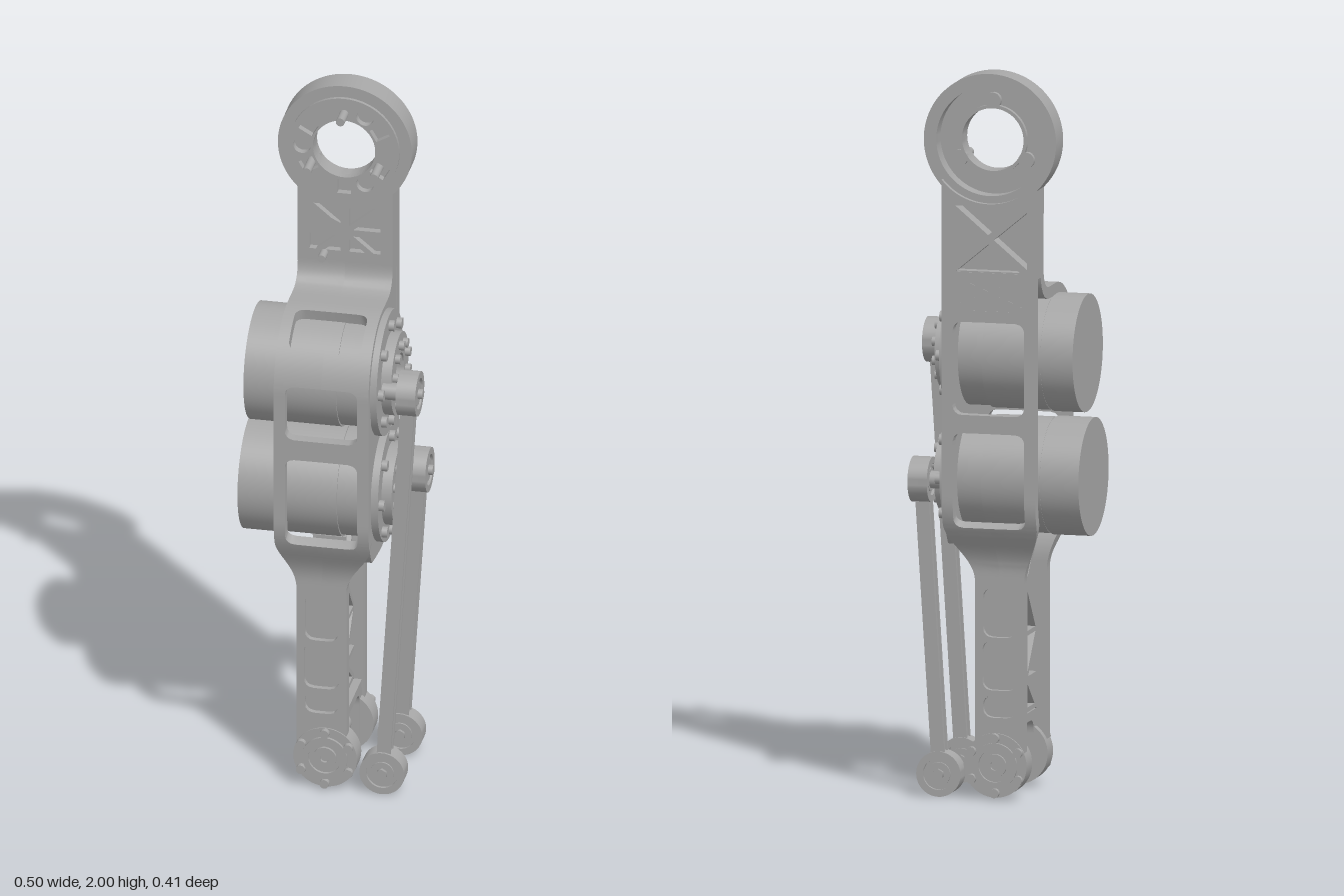
import * as THREE from 'three';
import { toCreasedNormals } from 'three/addons/utils/BufferGeometryUtils.js';

const metal = new THREE.MeshStandardMaterial({ color: 0xa6a6a6 });
metal.name = 'machined grey';
const CX = -0.015;              // centre line of the leg
const HIP = { x: CX, y: 1.815 };
const UPPER = { y: 1.212, z: 0.012 }, LOWER = { y: 0.875, z: 0.005 };

export function createModel() {
  const root = new THREE.Group();
  root.name = 'robotLeg';

  const add = (name, geo, x = 0, y = 0, z = 0) => {
    const m = new THREE.Mesh(geo, metal);
    m.name = name;
    m.position.set(x, y, z);
    root.add(m);
    return m;
  };
  const box = (name, w, h, d, x, y, z) => add(name, new THREE.BoxGeometry(w, h, d), x, y, z);

  // Solid disc or annulus running from a to b along the x or z axis
  const disc = (name, axis, ro, ri, a, b, p, seg = 48) => {
    const h = b - a;
    let g;
    if (ri > 0) {
      const v = [[ri, 0], [ro, 0], [ro, h], [ri, h], [ri, 0]].map(q => new THREE.Vector2(...q));
      g = toCreasedNormals(new THREE.LatheGeometry(v, seg), 0.6);
    } else g = new THREE.CylinderGeometry(ro, ro, h, seg).translate(0, h / 2, 0);
    if (axis === 'x') return add(name, g.rotateZ(-Math.PI / 2), a, p.y, p.z);
    return add(name, g.rotateX(Math.PI / 2), p.x, p.y, a);
  };
  const plate = (name, shape, a, b) => add(name, new THREE.ExtrudeGeometry(shape,
    { depth: b - a, bevelEnabled: false, curveSegments: 32 }), 0, 0, a);
  const sidePlate = (name, shape, a, b) => add(name, new THREE.ExtrudeGeometry(shape,
    { depth: b - a, bevelEnabled: false, curveSegments: 24 }).rotateY(Math.PI / 2), a, 0, 0);
  const circle = (n, f, start = 0) => {
    for (let i = 0; i < n; i++) f(start + i * Math.PI * 2 / n);
  };

  // Curved shell strip that follows a side profile (z, y), with rounded windows [s0, s1, halfWidth]
  const smooth = t => { t = Math.min(1, Math.max(0, t)); return t * t * (3 - 2 * t); };
  function band(name, path, side, thick, windows) {
    const L = path.getLength(), R = 0.025, e = 0.0004, stops = [];
    for (let i = 0; i <= 150; i++) stops.push(L * i / 150);
    for (const [a, b] of windows)
      for (const d of [-e, 0, 0.003, 0.008, 0.015, R]) stops.push(a + d, b - d);
    stops.sort((p, q) => p - q);
    for (const end of [-1, 1]) {
      const pos = [], idx = [];
      stops.forEach((s, i) => {
        const p = path.getPointAt(Math.min(1, s / L)), t = path.getTangentAt(Math.min(1, s / L));
        const k = smooth((p.y - 0.6) / 0.16);
        const c = -0.026 + 0.012 * k, half = 0.069 + 0.062 * k;
        let w = 0;
        for (const [a, b, hw] of windows) if (s >= a - 1e-9 && s <= b + 1e-9) {
          const d = Math.max(0, R - Math.min(s - a, b - s));
          w = hw - R + Math.sqrt(R * R - d * d);
        }
        const xs = [c + end * w, c + end * half].sort((m, n) => m - n);
        const iz = p.x - t.y * thick, iy = p.y + t.x * thick;
        pos.push(xs[0], p.y, side * p.x, xs[1], p.y, side * p.x,
          xs[1], iy, side * iz, xs[0], iy, side * iz);
        if (i) for (let j = 0; j < 4; j++) {
          const a = 4 * (i - 1) + j, b = 4 * (i - 1) + (j + 1) % 4;
          if (side > 0) idx.push(a, b, b + 4, a, b + 4, a + 4);
          else idx.push(a, b + 4, b, a, a + 4, b + 4);
        }
      });
      const n = pos.length / 3 - 4;
      if (side > 0) idx.push(0, 2, 1, 0, 3, 2, n, n + 1, n + 2, n, n + 2, n + 3);
      else idx.push(0, 1, 2, 0, 2, 3, n, n + 2, n + 1, n, n + 3, n + 2);
      const g = new THREE.BufferGeometry();
      g.setAttribute('position', new THREE.Float32BufferAttribute(pos, 3));
      g.setIndex(idx);
      add(name, toCreasedNormals(g, 0.6));
    }
  }
  const pockets = [[0.125, 0.185, 0.046], [0.2, 0.335, 0.048], [0.345, 0.48, 0.046]];
  const front = new THREE.Path().moveTo(0.142, 0.1).lineTo(0.142, 0.62)
    .bezierCurveTo(0.142, 0.7, 0.205, 0.73, 0.205, 0.83).lineTo(0.205, 1.21)
    .absarc(0.015, 1.21, 0.19, 0, Math.PI / 2, false).lineTo(-0.05, 1.4)
    .quadraticCurveTo(-0.115, 1.4, -0.115, 1.465).lineTo(-0.115, 1.5);
  band('frontShell', front, 1, 0.032,
    [...pockets, [0.665, 0.93, 0.1], [0.99, 1.15, 0.1], [1.25, 1.385, 0.1]]);
  const back = new THREE.Path().moveTo(0.13, 0.1).lineTo(0.13, 0.62)
    .bezierCurveTo(0.13, 0.7, 0.203, 0.73, 0.203, 0.83).lineTo(0.203, 1.46);
  band('backShell', back, -1, 0.03, [...pockets, [0.665, 0.93, 0.1], [0.98, 1.235, 0.1]]);
  box('frontPocketFloor', 0.13, 0.42, 0.016, -0.026, 0.4, 0.119);
  box('backPocketFloor', 0.13, 0.42, 0.016, -0.026, 0.4, -0.107);

  // Side plate that carries the two drives
  const sp = new THREE.Shape().moveTo(-0.15, 0.7).quadraticCurveTo(-0.195, 0.76, -0.198, 0.85);
  sp.lineTo(-0.198, 1.21).absarc(-0.015, 1.21, 0.183, Math.PI, Math.PI / 2, true);
  sp.lineTo(0.05, 1.393).quadraticCurveTo(0.12, 1.393, 0.12, 1.46).lineTo(0.197, 1.46)
    .lineTo(0.197, 0.85).quadraticCurveTo(0.19, 0.76, 0.14, 0.7).quadraticCurveTo(0, 0.67, -0.15, 0.7);
  sidePlate('sidePlate', sp, 0.088, 0.115);

  // Motors and their output flanges
  const drive = (c, x0, r) => {
    disc('motor', 'x', 0.161, 0, x0, -0.15, c, 64);
    disc('motorSeam', 'x', 0.157, 0, -0.15, -0.144, c, 64);
    disc('motorBody', 'x', 0.158, 0, -0.144, 0.02, c, 64);
    disc('gearbox', 'x', 0.153, 0, 0.02, 0.09, c, 64);
    disc('driveFlange', 'x', r, 0.1, 0.113, 0.135, c, 64);
    disc('outputRing', 'x', 0.115, 0.056, 0.113, 0.163, c);
    disc('outputBore', 'x', 0.06, 0, 0.113, 0.13, c);
    circle(8, a => disc('flangeBolt', 'x', 0.015, 0, 0.13, 0.15,
      { y: c.y + 0.142 * Math.sin(a), z: c.z + 0.142 * Math.cos(a) }, 16));
    circle(10, a => disc('outputBolt', 'x', 0.013, 0, 0.16, 0.177,
      { y: c.y + 0.085 * Math.sin(a), z: c.z + 0.085 * Math.cos(a) }, 16), 0.3);
  };
  drive(UPPER, -0.235, 0.174);
  drive(LOWER, -0.253, 0.163);

  // Push rods: upper eyes turn about x, lower eyes about z
  const eye = (axis, a, b, p) => {
    disc('rodEye', axis, 0.062, 0.043, a, b, p);
    disc('rodBearing', axis, 0.045, 0.03, a + 0.008, b - 0.008, p);
    disc('rodBall', axis, 0.032, 0, a + 0.003, b - 0.003, p, 32);
  };
  const rod = (top, z, z0, z1) => {
    const low = new THREE.Vector3(0.143, 0.065, z);
    eye('x', top.x - 0.027, top.x + 0.027, top);
    disc('crankPin', 'x', 0.024, 0, 0.14, top.x, top, 24);
    disc('crankBolt', 'x', 0.014, 0, top.x, top.x + 0.037, top, 16);
    eye('z', z0, z1, low);
    disc('rodBolt', 'z', 0.015, 0, z0 - 0.006, z1 + 0.006, low, 6);
    const dir = top.clone().sub(low), len = dir.length() - 0.09;
    const q = new THREE.Quaternion().setFromUnitVectors(new THREE.Vector3(0, 1, 0), dir.normalize());
    const mid = top.clone().add(low).multiplyScalar(0.5);
    for (const [w, d, off] of [[0.026, 0.03, 0], [0.038, 0.008, 0.017], [0.038, 0.008, -0.017]]) {
      const m = box('pushRod', w, len, d, mid.x, mid.y, mid.z + off);
      m.quaternion.copy(q);
    }
  };
  rod(new THREE.Vector3(0.214, 1.212, 0.122), 0.126, 0.1, 0.153);
  rod(new THREE.Vector3(0.195, 0.867, -0.105), -0.112, -0.138, -0.085);

  // Hip ring with a dished back and a pocketed front boss
  disc('hipRim', 'z', 0.185, 0.15, -0.19, -0.115, HIP, 96);
  disc('hipFloor', 'z', 0.155, 0.086, -0.145, -0.125, HIP, 64);
  disc('hipBoreLip', 'z', 0.095, 0.086, -0.16, -0.13, HIP, 64);
  const boss = new THREE.Shape().absarc(HIP.x, HIP.y, 0.152, 0, Math.PI * 2);
  boss.holes.push(new THREE.Path().absarc(HIP.x, HIP.y, 0.086, 0, Math.PI * 2, true));
  const polar = (r, a) => new THREE.Vector2(HIP.x + r * Math.cos(a), HIP.y + r * Math.sin(a));
  for (const deg of [30, 150, 210, 270, 330]) {
    const a = deg * Math.PI / 180;
    boss.holes.push(new THREE.Path([polar(0.094, a - 0.2), polar(0.136, a - 0.14),
      polar(0.136, a + 0.14), polar(0.094, a + 0.2)]));
  }
  for (const deg of [60, 180, 300]) {
    const c = polar(0.116, deg * Math.PI / 180);
    boss.holes.push(new THREE.Path().absarc(c.x, c.y, 0.024, 0, Math.PI * 2, true));
  }
  plate('hipBoss', boss, -0.126, -0.105);
  circle(3, a => {
    const c = polar(0.107, a);
    disc('hipPin', 'z', 0.012, 0, -0.15, -0.052, { x: c.x, y: c.y }, 20);
    disc('hipPinHead', 'z', 0.022, 0, -0.16, -0.145, { x: c.x, y: c.y }, 20);
  }, Math.PI / 2);
  disc('neckPin', 'z', 0.011, 0, -0.15, -0.076, { x: -0.072, y: 1.49 }, 20);

  // Neck: solid core between two plates with triangular pockets
  const neck = () => new THREE.Shape().moveTo(-0.145, 1.44).lineTo(0.117, 1.44).lineTo(0.117, 1.707)
    .absarc(HIP.x, HIP.y, 0.17, -0.69, -2.45, true).lineTo(-0.145, 1.44);
  const triangles = (shape, x0, x1, y0, y1, split, k) => {
    const c = new THREE.Vector2((x0 + x1) / 2, (y0 + y1) / 2);
    const rim = [[x0, y0], [c.x, y0], [x1, y0], [x1, c.y], [x1, y1], [c.x, y1], [x0, y1], [x0, c.y]]
      .filter((_, i) => split || i % 2 === 0).map(p => new THREE.Vector2(...p));
    rim.forEach((p, i) => {
      const t = [c, p, rim[(i + 1) % rim.length]];
      const m = new THREE.Vector2().add(t[0]).add(t[1]).add(t[2]).divideScalar(3);
      shape.holes.push(new THREE.Path(t.map(v => v.clone().lerp(m, 1 - k))));
    });
    return shape;
  };
  plate('neckFront', triangles(neck(), -0.125, 0.095, 1.465, 1.648, true, 0.68), -0.135, -0.115);
  plate('neckCore', neck(), -0.16, -0.135);
  plate('neckBack', triangles(neck(), -0.13, 0.102, 1.45, 1.645, false, 0.8), -0.205, -0.16);
  const web = new THREE.Shape([[-0.14, 1.335], [0.112, 1.335], [0.112, 1.45], [-0.14, 1.45]]
    .map(p => new THREE.Vector2(...p)));
  plate('neckFoot', triangles(web, -0.125, 0.097, 1.345, 1.44, false, 0.6), -0.204, -0.172);

  // Truss between the front and back struts
  const bar = (z0, y0, z1, y1) => {
    const m = box('trussBar', 0.08, Math.hypot(z1 - z0, y1 - y0), 0.013,
      -0.026, (y0 + y1) / 2, (z0 + z1) / 2);
    m.rotation.x = Math.atan2(z1 - z0, y1 - y0);
  };
  const F = 0.113, B = -0.1, M = 0.008;
  for (const z of [F, B]) {
    for (const [node, a, b] of [[0.57, 0.69, 0.435], [0.31, 0.435, 0.22]]) {
      bar(M, node, z, a);
      bar(M, node, z, b);
    }
  }
  bar(M, 0.2, M, 0.7);
  for (const y of [0.435, 0.31, 0.225]) bar(F, y, B, y);

  // Ankle: fork, cross shaft and bolted end caps
  const fork = new THREE.Shape().moveTo(-0.11, 0.05).lineTo(-0.11, 0.215).lineTo(0.1, 0.215)
    .lineTo(0.1, 0.05).lineTo(0.07, 0.05).lineTo(0.07, 0.15)
    .quadraticCurveTo(0.07, 0.19, 0.035, 0.19).lineTo(-0.05, 0.19)
    .quadraticCurveTo(-0.085, 0.19, -0.085, 0.15).lineTo(-0.085, 0.05);
  sidePlate('ankleFork', fork, -0.065, 0.035);
  const ankle = { x: CX, y: 0.095 };
  disc('ankleShaft', 'z', 0.028, 0, -0.1, 0.12, ankle, 32);
  for (const [a, b, s] of [[0.088, 0.146, 1], [-0.135, -0.075, -1]]) {
    const face = s > 0 ? b : a;
    const layer = (name, r, ri, h, p, seg) =>
      disc(name, 'z', r, ri, s > 0 ? face - 0.01 : face - h, s > 0 ? face + h : face + 0.01, p, seg);
    disc('ankleCap', 'z', 0.088, 0, a, b, ankle);
    layer('ankleRing', 0.062, 0.045, 0.008, ankle);
    layer('ankleHub', 0.032, 0.012, 0.008, ankle, 32);
    circle(6, t => layer('ankleBolt', 0.013, 0, 0.015,
      { x: ankle.x + 0.075 * Math.cos(t), y: ankle.y + 0.075 * Math.sin(t) }, 12), Math.PI / 6);
  }
  return root;
}
